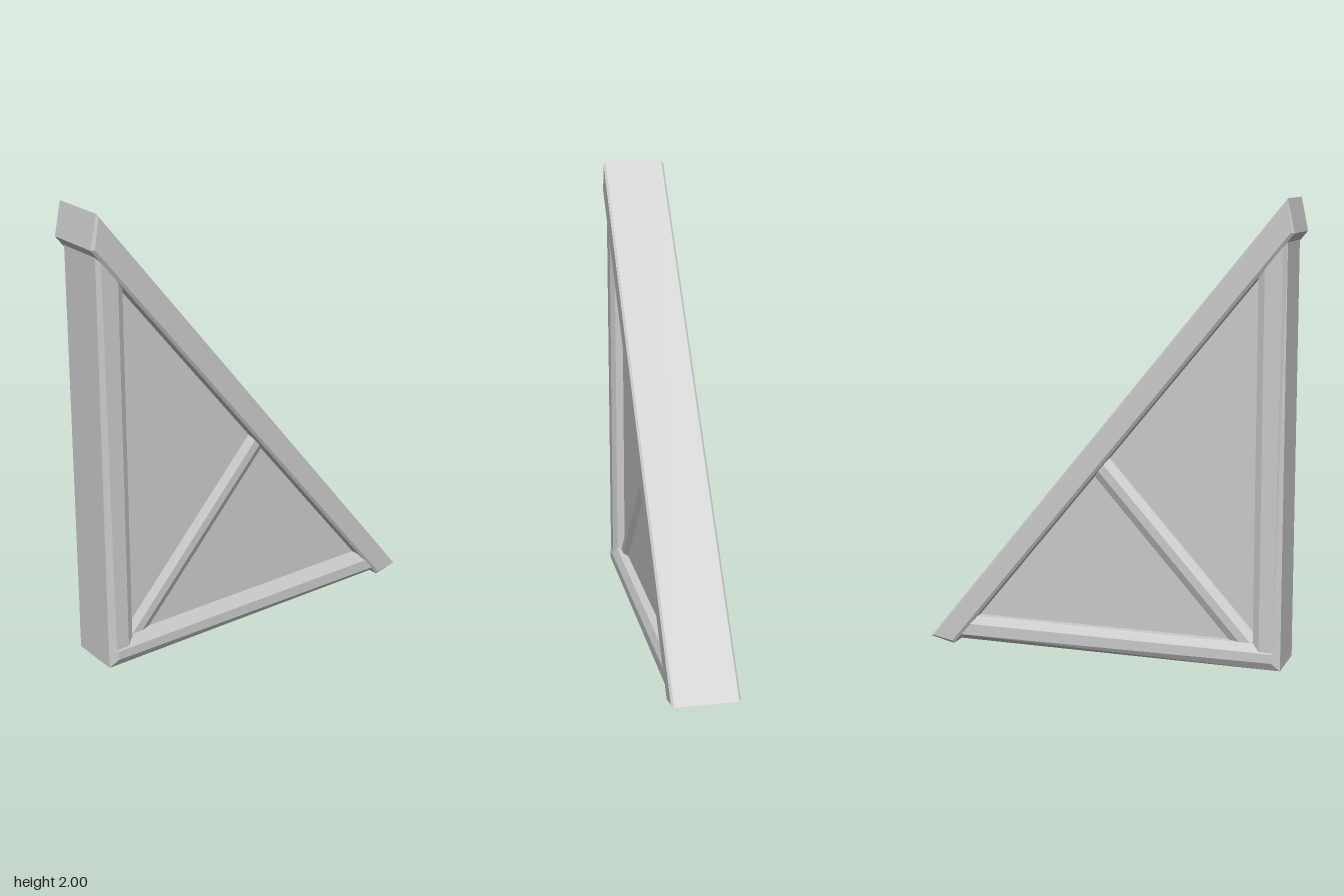
import * as THREE from 'three';

const material = new THREE.MeshStandardMaterial({ color: 0xcccccc, flatShading: true });

// Chamfered timber: outline in x/y, spanning z from back to front.
function timber(name, points, back, front, chamferWidth, chamferDepth) {
  const shape = new THREE.Shape(points.map(([x, y]) => new THREE.Vector2(x, y)));
  const geometry = new THREE.ExtrudeGeometry(shape, {
    depth: front - back - 2 * chamferDepth,
    bevelEnabled: chamferDepth > 0,
    bevelSize: chamferWidth,
    bevelOffset: -chamferWidth,
    bevelThickness: chamferDepth,
    bevelSegments: 1,
  });
  geometry.translate(0, 0, back + chamferDepth);
  const mesh = new THREE.Mesh(geometry, material);
  mesh.name = name;
  return mesh;
}

export function createModel() {
  const group = new THREE.Group();
  group.name = 'triangularWallFrame';

  // Upright post and bottom sill, their ends running into the rafter
  group.add(timber('uprightPost',
    [[-0.79, 0.07], [-0.67, 0.07], [-0.67, 1.74], [-0.79, 1.89]], -0.128, 0.133, 0.03, 0.018));
  group.add(timber('bottomSill',
    [[-0.79, 0.02], [0.74, 0.02], [0.66, 0.13], [-0.79, 0.13]], -0.131, 0.137, 0.035, 0.02));

  // Sloping rafter, slightly deeper at the back towards its foot
  const rafter = timber('slopingRafter',
    [[-0.82, 1.86], [0.705, 0], [0.815, 0.025], [-0.79, 2]], -0.137, 0.144, 0.012, 0.01);
  const position = rafter.geometry.attributes.position;
  for (let i = 0; i < position.count; i++) {
    if (position.getZ(i) < 0) {
      position.setZ(i, position.getZ(i) - 0.009 * (position.getX(i) + 0.8) / 1.6);
    }
  }
  rafter.geometry.computeVertexNormals();
  group.add(rafter);

  // Recessed infill panel
  group.add(timber('infillPanel',
    [[-0.72, 0.08], [0.68, 0.08], [-0.72, 1.79]], -0.078, 0.08, 0, 0));

  // Diagonal brace from the corner to the middle of the rafter
  group.add(timber('diagonalBrace',
    [[-0.74, 0.09], [-0.66, 0.02], [0.09, 0.85], [0.01, 0.92]], -0.108, 0.098, 0.035, 0.018));

  return group;
}
